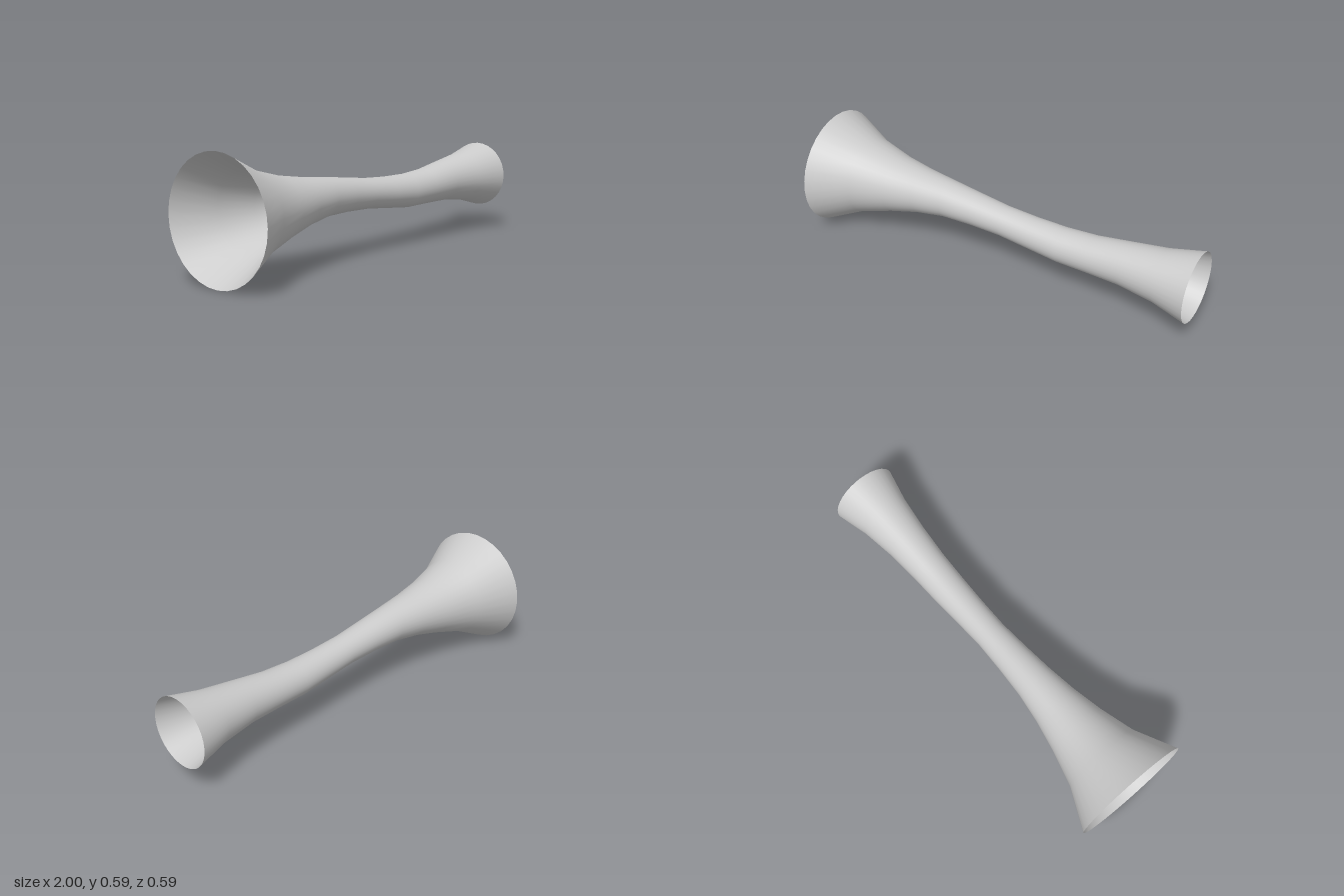
import * as THREE from 'three';

// Cross-sections along the tube: [x, centre height, half height, half depth]
const RINGS = [
  [-1, 0.294, 0.293, 0.293],
  [-0.8, 0.297, 0.196, 0.198],
  [-0.62, 0.303, 0.144, 0.149],
  [-0.47, 0.312, 0.113, 0.118],
  [-0.32, 0.317, 0.093, 0.097],
  [-0.16, 0.309, 0.082, 0.085],
  [0, 0.297, 0.075, 0.077],
  [0.16, 0.284, 0.079, 0.081],
  [0.32, 0.275, 0.086, 0.088],
  [0.48, 0.281, 0.091, 0.094],
  [0.65, 0.294, 0.105, 0.107],
  [0.83, 0.297, 0.129, 0.131],
  [1, 0.295, 0.171, 0.171],
];
const SIDES = 32;

// Skin the rings into one open tube, sharing vertices round the seam
function loft(rings, sides) {
  const positions = [];
  const indices = [];
  rings.forEach(([x, cy, ry, rz], i) => {
    for (let j = 0; j < sides; j++) {
      const a = (j / sides) * Math.PI * 2;
      positions.push(x, cy + ry * Math.cos(a), rz * Math.sin(a));
      if (i === rings.length - 1) continue;
      const p = i * sides + j;
      const q = i * sides + ((j + 1) % sides);
      indices.push(p, q, p + sides, q, q + sides, p + sides);
    }
  });
  const geometry = new THREE.BufferGeometry();
  geometry.setAttribute('position', new THREE.Float32BufferAttribute(positions, 3));
  geometry.setIndex(indices);
  geometry.computeVertexNormals();
  return geometry;
}

export function createModel() {
  const group = new THREE.Group();
  group.name = 'flaredTube';

  // Thin open shell, flared at both ends
  const material = new THREE.MeshStandardMaterial({ color: 0xcccccc, side: THREE.DoubleSide });
  const shell = new THREE.Mesh(loft(RINGS, SIDES), material);
  shell.name = 'tubeShell';
  group.add(shell);

  return group;
}
